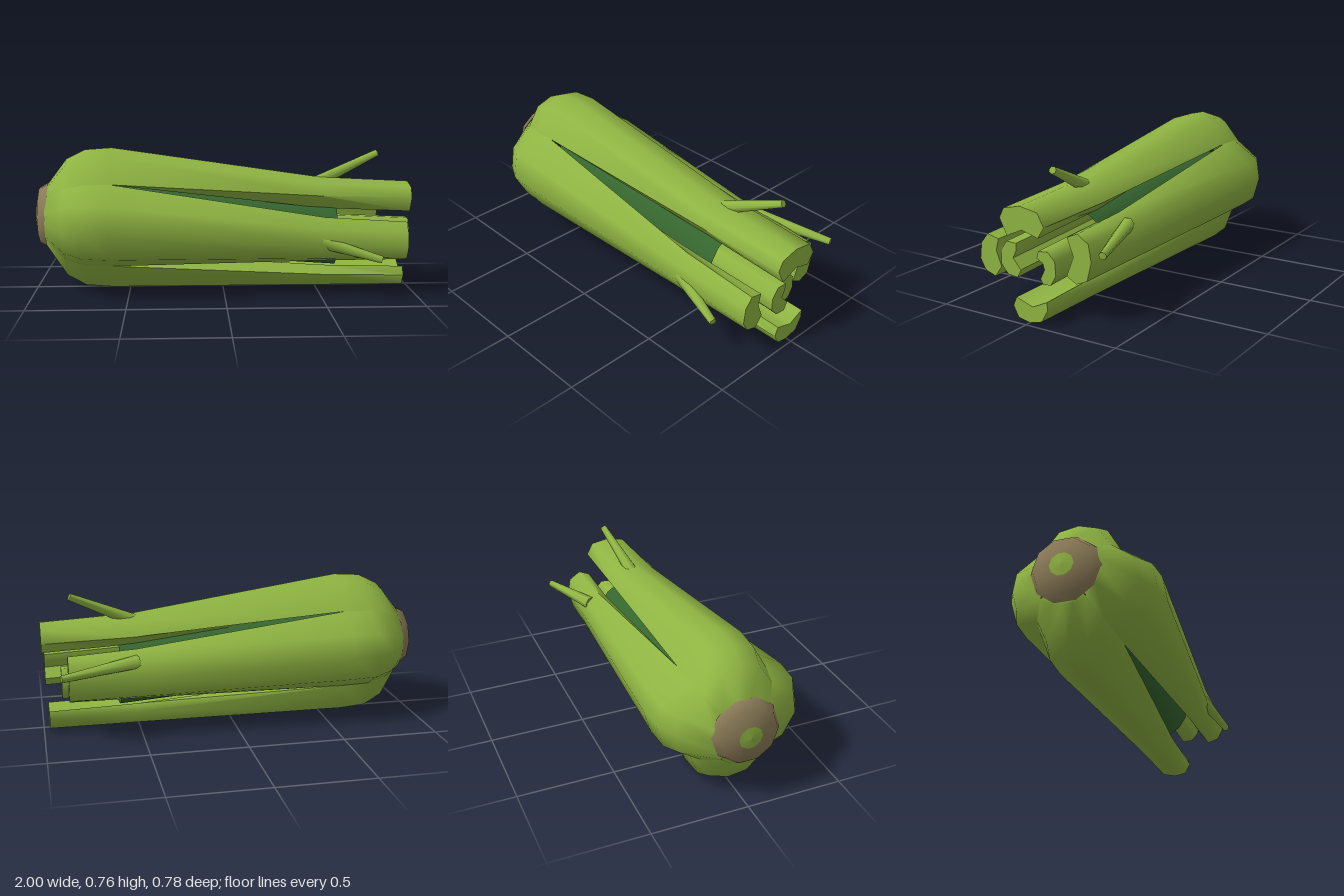
import * as THREE from 'three';
import { toCreasedNormals } from 'three/addons/utils/BufferGeometryUtils.js';

const mat = (name, color, side = THREE.FrontSide) => {
  const m = new THREE.MeshStandardMaterial({ color, side });
  m.name = name;
  return m;
};
const CY = 0.39; // height of the bundle's axis
const lerp = (a, b, t) => a + (b - a) * t;
const mix = (A, B, t) => A.map((p, i) => [lerp(p[0], B[i][0], t), lerp(p[1], B[i][1], t)]);

// Closed, capped skin through outlines of [z, y] points placed along x
function loft(sections) {
  const pos = [];
  const n = sections[0].pts.length;
  const toV2 = pts => pts.map(p => new THREE.Vector2(p[0], p[1]));
  const last = sections.length - 1;
  const flip = THREE.ShapeUtils.area(toV2(sections[last].pts)) < 0;
  const secs = sections.map(s => ({ x: s.x, pts: flip ? [...s.pts].reverse() : s.pts }));
  const put = (s, j) => pos.push(s.x, s.pts[j % n][1], s.pts[j % n][0]);
  for (let i = 0; i < last; i++) {
    const a = secs[i], b = secs[i + 1];
    for (let j = 0; j < n; j++) {
      put(a, j); put(b, j); put(a, j + 1);
      put(a, j + 1); put(b, j); put(b, j + 1);
    }
  }
  [secs[0], secs[last]].forEach((s, end) => {
    for (const f of THREE.ShapeUtils.triangulateShape(toV2(s.pts), [])) {
      (end ? [f[2], f[1], f[0]] : f).forEach(j => put(s, j));
    }
  });
  const g = new THREE.BufferGeometry();
  g.setAttribute('position', new THREE.Float32BufferAttribute(pos, 3));
  return toCreasedNormals(g, 1.1);
}

// Outer stalks: outer arc at the bulge, then the channelled cut end
const valley = { a: [0.21, 0.585], b: [-0.195, 0.6], c: [-0.2, 0.19], d: [0.175, 0.15] };
const outerStalks = [
  { name: 'topStalk', x: 0.995,
    bulge: [valley.a, [0.135, 0.72], [0.02, 0.758], [-0.095, 0.735], valley.b],
    end: [[0.14, 0.5], [0.115, 0.55], [0.02, 0.572], [-0.08, 0.555], [-0.115, 0.49],
      [-0.08, 0.435], [0.01, 0.46], [0.1, 0.42]] },
  { name: 'rightStalk', x: 0.87,
    bulge: [valley.b, [-0.35, 0.505], [-0.37, 0.39], [-0.335, 0.265], valley.c],
    end: [[-0.21, 0.445], [-0.27, 0.405], [-0.285, 0.32], [-0.26, 0.225], [-0.2, 0.2],
      [-0.145, 0.23], [-0.185, 0.33], [-0.15, 0.42]] },
  { name: 'bottomStalk', x: 0.97,
    bulge: [valley.c, [-0.15, 0.045], [-0.03, 0.002], [0.085, 0.02], valley.d],
    end: [[-0.105, 0.08], [-0.07, 0.02], [0, 0.003], [0.065, 0.015], [0.095, 0.07],
      [0.075, 0.115], [-0.02, 0.085], [-0.105, 0.125]] },
  { name: 'leftStalk', x: 0.945,
    bulge: [valley.d, [0.31, 0.21], [0.39, 0.35], [0.365, 0.49], valley.a],
    end: [[0.22, 0.185], [0.28, 0.205], [0.31, 0.26], [0.3, 0.34], [0.26, 0.39],
      [0.195, 0.375], [0.21, 0.315], [0.18, 0.24]] },
];

// Move a point to a given distance from the axis
function atRadius([z, y], r) {
  const k = r / Math.hypot(z, y - CY);
  return [z * k, CY + (y - CY) * k];
}

function stalkGeometry({ bulge, end, x }) {
  const full = [...bulge, ...[3, 2, 1].map(i => atRadius(bulge[i], 0.2))];
  const neck = full.map((p, i) => atRadius(p, i < 5 ? 0.17 : 0.08));
  return loft([
    { x: -0.935, pts: neck },
    { x: -0.83, pts: mix(neck, full, 0.7) },
    { x: -0.73, pts: mix(neck, full, 0.95) },
    { x: -0.59, pts: full },
    { x: 0.52, pts: mix(full, end, 0.87) },
    { x, pts: end },
  ]);
}

// Inner stalks: C-shaped cut ends
const innerStalks = [
  { name: 'innerLeftStalk', x: 0.98,
    end: [[0.15, 0.34], [0.15, 0.27], [0.11, 0.225], [0.055, 0.22], [0.035, 0.26],
      [0.08, 0.31], [0.06, 0.35], [0.06, 0.385], [0.115, 0.387]] },
  { name: 'innerRightStalk', x: 0.9,
    end: [[0.005, 0.3], [-0.005, 0.335], [-0.06, 0.34], [-0.1, 0.3], [-0.105, 0.23],
      [-0.075, 0.18], [-0.03, 0.175], [-0.015, 0.2], [-0.04, 0.25], [-0.03, 0.28]] },
];

// Cut twigs: root and tip as [x, y, z]
const twigs = [
  { name: 'topTwig', root: [0.5, 0.56, 0], tip: [0.84, 0.717, -0.055] },
  { name: 'leftTwig', root: [0.47, 0.3, 0.28], tip: [0.8, 0.212, 0.362] },
  { name: 'rightTwig', root: [0.52, 0.41, -0.255], tip: [0.91, 0.38, -0.375] },
];

export function createModel() {
  const green = mat('stalkGreen', 0x8fb442);
  const dark = mat('innerGreen', 0x35662f, THREE.DoubleSide);
  const brown = mat('rootBrown', 0x8c7c58);
  const model = new THREE.Group();
  model.name = 'stalkBundle';
  const add = (name, geo, material) => {
    const m = new THREE.Mesh(geo, material);
    m.name = name;
    model.add(m);
    return m;
  };

  for (const s of outerStalks) add(s.name, stalkGeometry(s), green);
  for (const s of innerStalks) {
    add(s.name, loft([{ x: -0.55, pts: s.end.map(([z, y]) => [z, y + 0.07]) }, { x: s.x, pts: s.end }]), green);
  }

  // Twigs taper from the stalk to a cut tip
  for (const { name, root, tip } of twigs) {
    const a = new THREE.Vector3(...root), b = new THREE.Vector3(...tip);
    const dir = b.clone().sub(a);
    const geo = toCreasedNormals(new THREE.CylinderGeometry(0.019, 0.036, dir.length(), 7), 1.1);
    const m = add(name, geo, green);
    m.position.copy(a).add(b).multiplyScalar(0.5);
    m.quaternion.setFromUnitVectors(new THREE.Vector3(0, 1, 0), dir.normalize());
  }

  // Dark hollow sleeve between the outer and inner stalks
  const ring = (x, cy, r) => Array.from({ length: 16 }, (_, i) => {
    const t = i / 16 * Math.PI * 2;
    return new THREE.Vector3(x, cy + r * Math.sin(t), r * Math.cos(t));
  });
  const rings = [ring(-0.6, CY, 0.001), ring(-0.6, CY, 0.19), ring(0.6, 0.295, 0.178)];
  const pts = [];
  for (let k = 0; k < 2; k++) {
    for (let i = 0; i < 16; i++) {
      const j = (i + 1) % 16, p = rings[k], q = rings[k + 1];
      pts.push(p[i], q[i], p[j], p[j], q[i], q[j]);
    }
  }
  add('innerSleeve', toCreasedNormals(new THREE.BufferGeometry().setFromPoints(pts), 1), dark);

  // Root end: brown collar around a green cut core
  const lathe = (name, profile, material) => {
    const geo = new THREE.LatheGeometry(profile.map(([r, x]) => new THREE.Vector2(r, x)), 10);
    const m = add(name, geo, material);
    m.rotation.z = -Math.PI / 2;
    m.position.y = 0.4;
  };
  lathe('rootCollar', [[0.06, -0.993], [0.15, -0.975], [0.178, -0.925]], brown);
  lathe('rootCore', [[0, -1], [0.06, -0.993]], green);
  return model;
}
